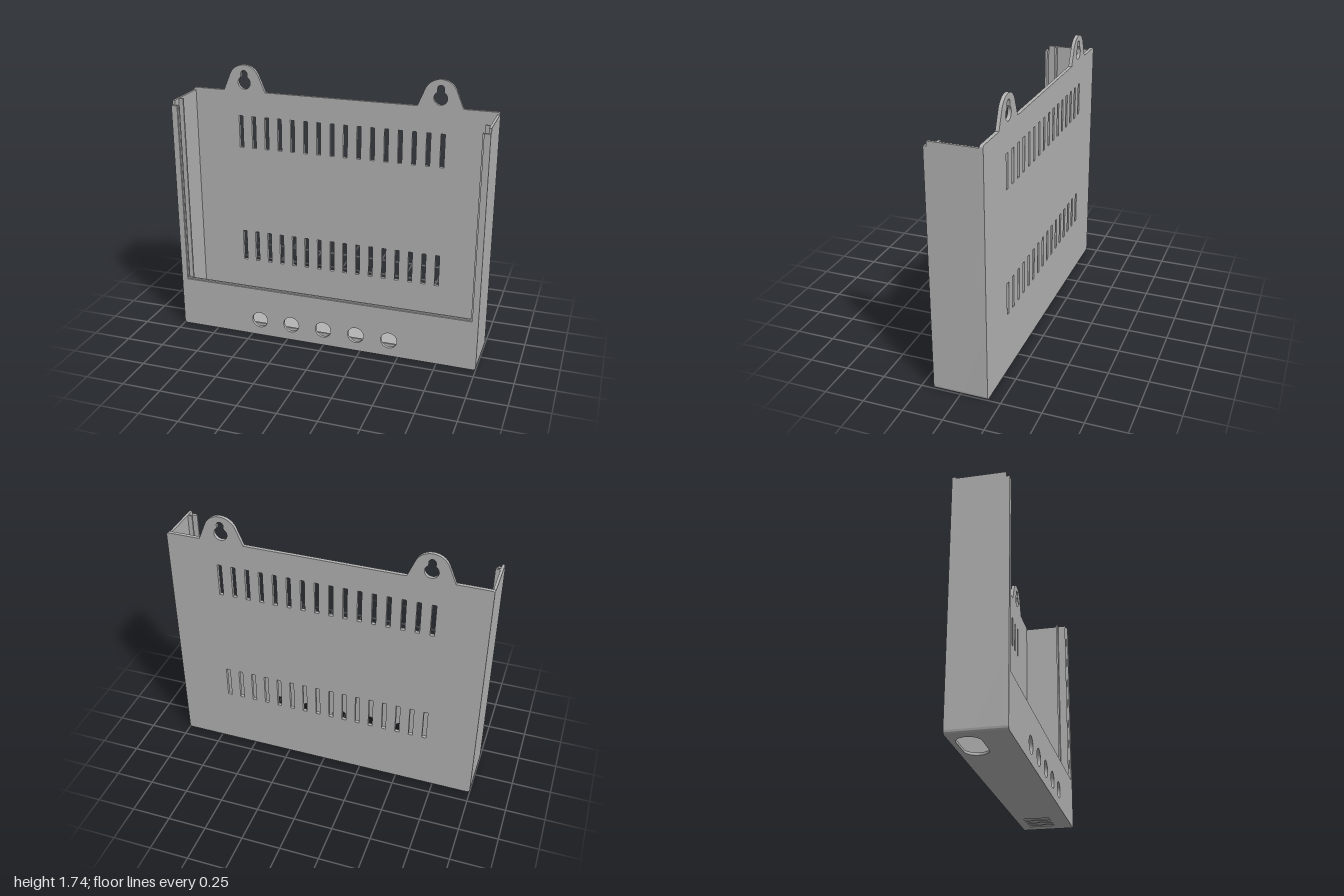
import * as THREE from 'three';
import { toCreasedNormals } from 'three/addons/utils/BufferGeometryUtils.js';

const W = 1, BACK = -0.17, INNER = -0.148, FRONT = 0.17, LIP = 0.15;
const WALL = 0.016, R = 0.022;

// Vertical-slit, stadium and circle hole contours
function rectHole(cx, y0, y1, w) {
  return new THREE.Path([[-w, y0], [w, y0], [w, y1], [-w, y1]].map(([x, y]) => new THREE.Vector2(cx + x / 2, y)));
}
function circleHole(cx, cy, r) {
  return new THREE.Path().absarc(cx, cy, r, 0, Math.PI * 2);
}
function stadiumHole(x0, x1, y0, y1) {
  const r = (y1 - y0) / 2, cy = (y0 + y1) / 2;
  const p = new THREE.Path();
  p.absarc(x1 - r, cy, r, -Math.PI / 2, Math.PI / 2);
  p.absarc(x0 + r, cy, r, Math.PI / 2, Math.PI * 1.5);
  p.closePath();
  return p;
}
// Round bulb below, narrow rounded neck above
function keyhole(cx) {
  const p = new THREE.Path(), cy = 1.625, r = 0.042, w = 0.022;
  const a = Math.acos(w / r);
  p.absarc(cx, cy, r, Math.PI - a, Math.PI * 2 + a);
  p.absarc(cx, 1.683, w, 0, Math.PI);
  p.closePath();
  return p;
}

function extrude(shape, z0, z1) {
  const g = new THREE.ExtrudeGeometry(shape, { depth: z1 - z0, bevelEnabled: false, curveSegments: 20 });
  g.translate(0, 0, z0);
  return toCreasedNormals(g, 0.6);
}

export function createModel() {
  const group = new THREE.Group();
  const grey = new THREE.MeshStandardMaterial({ color: 0xb3b3b3 });
  grey.name = 'grey plastic';
  const add = (name, geometry) => {
    const m = new THREE.Mesh(geometry, grey);
    m.name = name;
    group.add(m);
    return m;
  };

  // Back plate with hanging ears, keyholes and two rows of vents
  const top = 1.57, back = new THREE.Shape();
  back.moveTo(-W + R, 0);
  back.lineTo(W - R, 0);
  back.quadraticCurveTo(W, 0, W, R);
  back.lineTo(W, top - 0.015);
  back.quadraticCurveTo(W, top, W - 0.015, top);
  for (const cx of [0.64, -0.64]) {
    back.lineTo(cx + 0.142, top);
    back.absarc(cx, 1.635, 0.106, 0.35, Math.PI - 0.35);
    back.lineTo(cx - 0.142, top);
    back.holes.push(keyhole(cx));
  }
  back.lineTo(-W + 0.015, top);
  back.quadraticCurveTo(-W, top, -W, top - 0.015);
  back.lineTo(-W, R);
  back.quadraticCurveTo(-W, 0, -W + R, 0);
  for (let i = 0; i < 16; i++) {
    const x = -0.671 + i * 0.0891;
    back.holes.push(rectHole(x, 1.19, 1.405, 0.027), rectHole(x, 0.385, 0.597, 0.027));
  }
  add('backPlate', extrude(back, BACK, INNER));

  // Side walls with rounded lower corner, and inner guide rails
  for (const s of [1, -1]) {
    const side = s > 0 ? 'left' : 'right';
    const wall = new THREE.Shape();
    wall.moveTo(s * 0.96, 0);
    wall.lineTo(s * (W - R), 0);
    wall.quadraticCurveTo(s * W, 0, s * W, R);
    wall.lineTo(s * W, 1.555);
    wall.lineTo(s * (W - WALL), 1.555);
    wall.lineTo(s * (W - WALL), WALL);
    wall.lineTo(s * 0.96, WALL);
    add(side + 'Wall', extrude(wall, INNER, LIP));

    const rail = add(side + 'GuideRail', new THREE.BoxGeometry(0.03, 1.54, 0.012));
    rail.position.set(s * 0.97, 0.785, 0.091);
  }

  // Floor with cable opening and vents
  const floor = new THREE.Shape([[-0.96, INNER], [0.96, INNER], [0.96, LIP], [-0.96, LIP]]
    .map(([x, z]) => new THREE.Vector2(x, z)));
  floor.holes.push(stadiumHole(-0.933, -0.642, -0.139, 0));
  for (let i = 0; i < 4; i++) floor.holes.push(rectHole(0.705 + i * 0.06, -0.113, 0.057, 0.026));
  add('floor', extrude(floor, 0, WALL).rotateX(Math.PI / 2).translate(0, WALL, 0));

  // Low rib across the floor
  add('floorRib', new THREE.BoxGeometry(1.92, 0.03, 0.012)).position.set(0, 0.03, 0.091);

  // Front frame, open at the top, with button holes; outer layer steps back at the opening
  const frame = (halfOpening, sill) => {
    const f = new THREE.Shape();
    f.moveTo(-W + R, 0);
    f.lineTo(W - R, 0);
    f.quadraticCurveTo(W, 0, W, R);
    f.lineTo(W, 1.525);
    f.lineTo(halfOpening, 1.525);
    f.lineTo(halfOpening, sill);
    f.lineTo(-halfOpening, sill);
    f.lineTo(-halfOpening, 1.525);
    f.lineTo(-W, 1.525);
    f.lineTo(-W, R);
    f.quadraticCurveTo(-W, 0, -W + R, 0);
    for (let i = -2; i <= 2; i++) f.holes.push(circleHole(-0.002 + i * 0.2205, 0.11, 0.053));
    return f;
  };
  add('frontFrameInner', extrude(frame(0.952, 0.343), LIP, 0.16));
  add('frontFrameOuter', extrude(frame(0.961, 0.333), 0.16, FRONT));

  return group;
}
